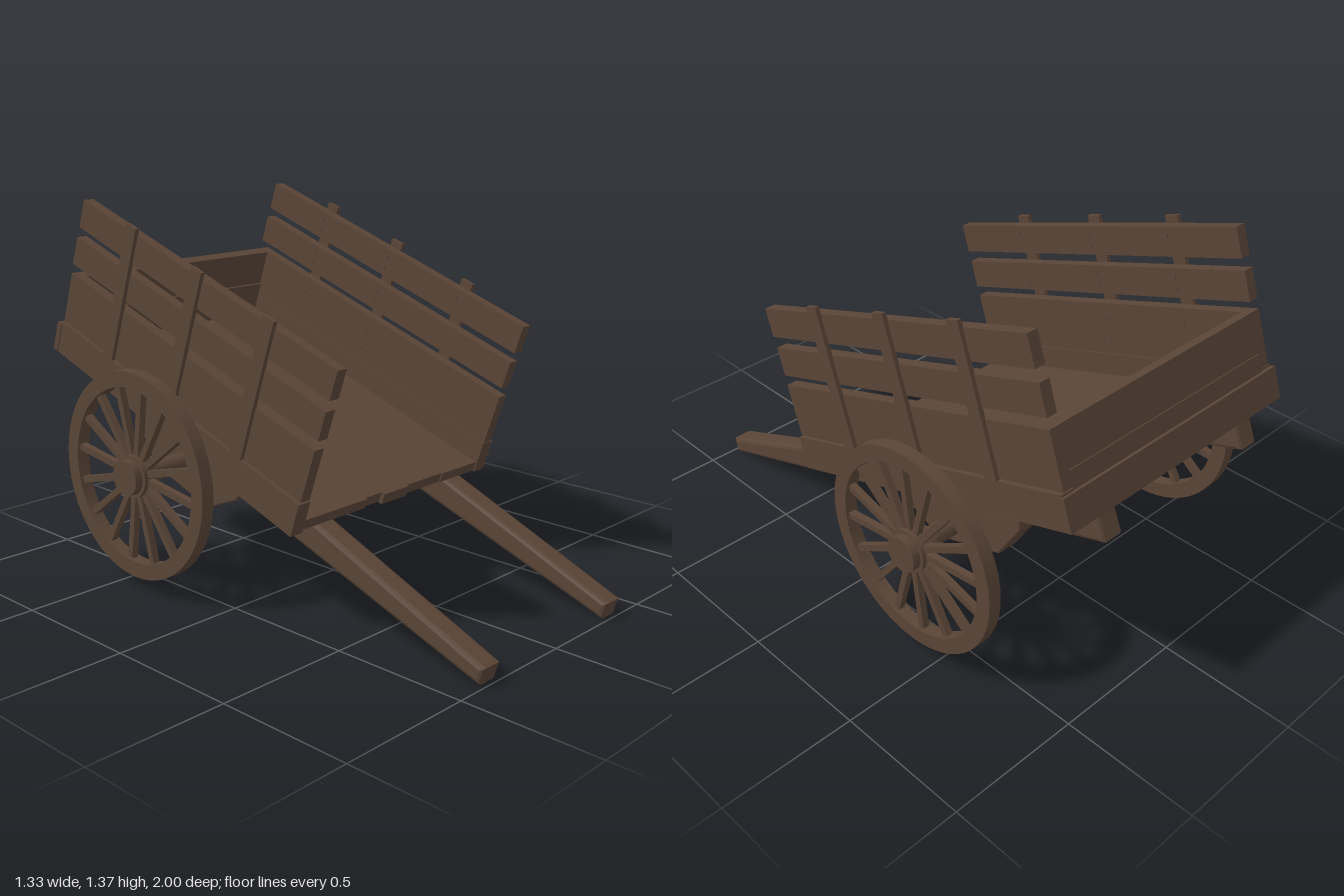
import * as THREE from 'three';

const wood = new THREE.MeshStandardMaterial({ color: 0x5a4537 });
wood.name = 'dark brown wood';

let seed = 7;
const jitter = (a) => {
  seed = (seed * 16807) % 2147483647;
  return (seed / 2147483647 - 0.5) * 2 * a;
};

function add(parent, name, geometry) {
  const mesh = new THREE.Mesh(geometry, wood);
  mesh.name = name;
  parent.add(mesh);
  return mesh;
}

// Box given by its limits on each axis
function box(parent, name, x0, x1, y0, y1, z0, z1) {
  const mesh = add(parent, name, new THREE.BoxGeometry(Math.abs(x1 - x0), y1 - y0, z1 - z0));
  mesh.position.set((x0 + x1) / 2, (y0 + y1) / 2, (z0 + z1) / 2);
  return mesh;
}

// Side outline of [z, y] points, extruded across x with chamfered edges
function prism(parent, name, points, x, width, bevel) {
  const shape = new THREE.Shape(points.map(([z, y]) => new THREE.Vector2(-z, y)));
  const geometry = new THREE.ExtrudeGeometry(shape, {
    depth: width - 2 * bevel, bevelThickness: bevel, bevelSize: bevel,
    bevelOffset: -bevel, bevelSegments: 2,
  });
  geometry.translate(0, 0, -width / 2 + bevel);
  geometry.rotateY(Math.PI / 2);
  add(parent, name, geometry).position.x = x;
}

// Cylinder lying along x
function axial(parent, name, radius, length, x, sides = 24) {
  const geometry = new THREE.CylinderGeometry(radius, radius, length, sides);
  geometry.rotateZ(Math.PI / 2);
  add(parent, name, geometry).position.x = x;
}

function makeWheel() {
  const wheel = new THREE.Group();
  // rim
  const ring = new THREE.Shape().absarc(0, 0, 0.38, 0, Math.PI * 2);
  ring.holes.push(new THREE.Path().absarc(0, 0, 0.322, 0, Math.PI * 2, true));
  const rim = new THREE.ExtrudeGeometry(ring, { depth: 0.05, bevelEnabled: false, curveSegments: 36 });
  rim.translate(0, 0, -0.025);
  rim.rotateY(Math.PI / 2);
  add(wheel, 'rim', rim);
  // hub
  axial(wheel, 'hub', 0.065, 0.112, 0.002);
  axial(wheel, 'hubCollar', 0.078, 0.055, 0);
  // spokes
  for (let i = 0; i < 16; i++) {
    const geometry = new THREE.BoxGeometry(0.026, 0.27, 0.024);
    geometry.translate(0, 0.195, 0);
    add(wheel, 'spoke', geometry).rotation.x = ((i + 0.5) / 16) * Math.PI * 2;
  }
  return wheel;
}

export function createModel() {
  const model = new THREE.Group();
  model.name = 'handcart';
  // Whole cart tips forward onto its shafts
  const cart = new THREE.Group();
  cart.name = 'tippedCart';
  cart.rotation.x = THREE.MathUtils.degToRad(19);
  model.add(cart);

  const front = 0.165, back = -1.18;
  const uprights = [-0.15, -0.517, -0.88];

  // Floor boards with slightly uneven front ends
  const edges = [-0.47, -0.145, -0.065, 0.07, 0.265, 0.47];
  const ends = [0.158, 0.15, 0.164, 0.156, 0.16];
  ends.forEach((end, i) => {
    const drop = i === 2 ? 0.004 : 0;
    box(cart, 'floorBoard', edges[i] + 0.001, edges[i + 1] - 0.001, 0.43 - drop, 0.468, back + 0.01, end);
  });

  for (const s of [-1, 1]) {
    const side = new THREE.Group();
    side.name = s > 0 ? 'leftSide' : 'rightSide';
    cart.add(side);

    // Sill and side planks: [bottom, top, outer x]
    const planks = [[0.428, 0.553, 0.52], [0.556, 0.755, 0.507], [0.792, 0.9, 0.507], [0.941, 1.049, 0.507]];
    planks.forEach(([y0, y1, outer], i) => {
      box(side, i ? 'sidePlank' : 'sideSill', s * 0.465, s * outer, y0, y1, back - jitter(0.004), front + jitter(0.004));
      // nails on the inner face
      for (const z of uprights) {
        for (const t of [0.3, 0.7]) {
          const y = y0 + (y1 - y0) * t;
          if (i) box(side, 'nail', s * 0.461, s * 0.466, y - 0.006, y + 0.006, z - 0.006, z + 0.006);
        }
      }
    });
    // Uprights that tie the planks together
    for (const z of uprights) {
      box(side, 'upright', s * 0.505, s * 0.522, 0.55, 1.076, z - 0.027, z + 0.027);
    }

    // Shaft running under the bed and tapering to the handle
    prism(cart, 'shaft', [[0.925, 0.324], [0.922, 0.386], [0.16, 0.43], [-1.165, 0.43], [-1.172, 0.326]],
      s * 0.344, 0.09, 0.014);
    // Axle bracket below the shaft
    prism(cart, 'axleBracket', [[-0.2, 0.335], [-0.807, 0.335], [-0.79, 0.29], [-0.655, 0.18], [-0.345, 0.18], [-0.22, 0.29]],
      s * 0.344, 0.088, 0.006);
  }

  // Tail wall: two planks, outer sill and nails
  box(cart, 'tailPlank', -0.468, 0.468, 0.465, 0.608, back, -1.134);
  box(cart, 'tailPlank', -0.468, 0.468, 0.611, 0.755, back, -1.138);
  box(cart, 'tailSill', -0.524, 0.524, 0.43, 0.545, -1.194, -1.17);
  for (const x of [-0.34, -0.14, 0.14, 0.335]) {
    for (const y of [0.508, 0.561]) {
      box(cart, 'nail', x - 0.007, x + 0.007, y - 0.007, y + 0.007, -1.135, -1.13);
    }
  }

  // Axle and wheels
  const running = new THREE.Group();
  running.name = 'runningGear';
  running.position.set(0, 0.285, -0.506);
  cart.add(running);
  axial(running, 'axle', 0.037, 1.14, 0, 20);
  for (const s of [-1, 1]) {
    const wheel = makeWheel();
    wheel.name = s > 0 ? 'leftWheel' : 'rightWheel';
    wheel.position.x = s * 0.608;
    if (s < 0) wheel.rotation.y = Math.PI;
    running.add(wheel);
  }
  return model;
}
